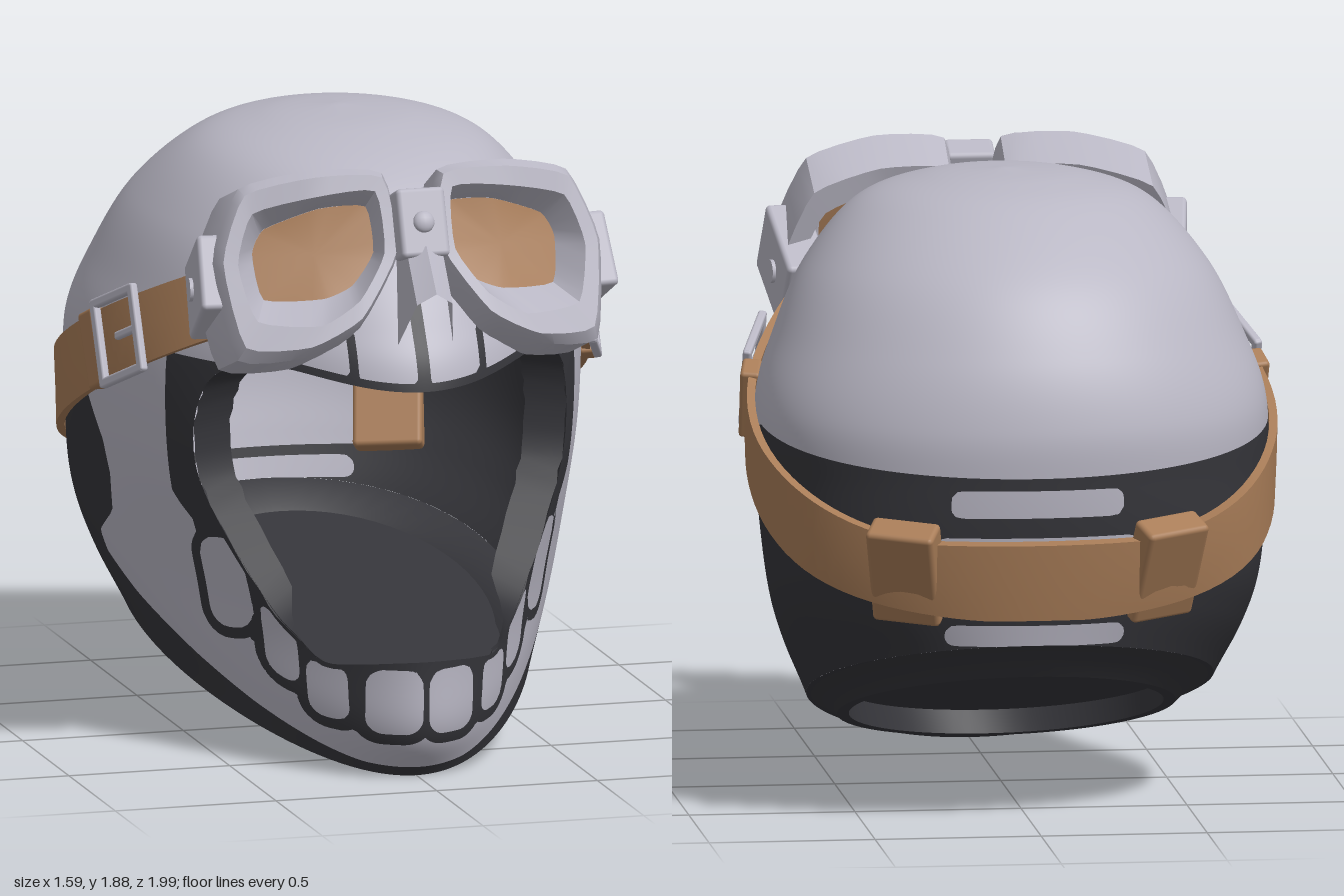
import * as THREE from 'three';
import { toCreasedNormals } from 'three/addons/utils/BufferGeometryUtils.js';
import { RoundedBoxGeometry } from 'three/addons/geometries/RoundedBoxGeometry.js';

const V = (x, y, z) => new THREE.Vector3(x, y, z);
const mat = (name, color) => {
  const m = new THREE.MeshStandardMaterial({ color, side: THREE.DoubleSide });
  m.name = name;
  return m;
};
const grey = mat('pale grey', 0xb9b7c4);
const dark = mat('charcoal', 0x35353a);
const brown = mat('leather brown', 0xa97d58);

// Helmet cross-sections, bottom to top: front y, front z, back y, back z, half width, taper to the front
const ROWS = [
  [0.005, 0.78, 0.56, -0.87, 0.59, 0.25], [0.15, 0.88, 0.70, -0.90, 0.64, 0.40],
  [0.37, 0.895, 0.85, -0.93, 0.685, 0.42], [0.80, 0.92, 1.05, -0.95, 0.73, 0.31],
  [1.20, 0.88, 1.22, -0.95, 0.74, 0.26], [1.38, 0.80, 1.42, -0.89, 0.69, 0.18],
  [1.57, 0.66, 1.63, -0.75, 0.60, 0.10], [1.76, 0.45, 1.80, -0.50, 0.44, 0.04],
  [1.85, 0.20, 1.86, -0.30, 0.24, 0], [1.88, -0.08, 1.88, -0.08, 0, 0]];
const spline = (o) => new THREE.CatmullRomCurve3(ROWS.map((r) => V(r[o], r[o + 1], r[o + 2])), false, 'catmullrom', 0.5);
const curveA = spline(0), curveB = spline(3);
function surf(s, a) {
  const A = curveA.getPoint(s), B = curveB.getPoint(s), c = (1 + Math.cos(a)) / 2;
  return V(B.y * Math.sin(a) * (1 - B.z * Math.cos(a)), A.z + (A.x - A.z) * c, B.x + (A.y - B.x) * c);
}

// Signed distances, positive inside
function polyDist(pts, x, y) {
  let d = Infinity, inside = false;
  for (let i = 0, j = pts.length - 1; i < pts.length; j = i++) {
    const [ax, ay] = pts[i], [bx, by] = pts[j], ex = bx - ax, ey = by - ay;
    const t = Math.min(1, Math.max(0, ((x - ax) * ex + (y - ay) * ey) / (ex * ex + ey * ey)));
    d = Math.min(d, Math.hypot(x - ax - ex * t, y - ay - ey * t));
    if ((ay > y) !== (by > y) && x < ax + (ex * (y - ay)) / ey) inside = !inside;
  }
  return inside ? d : -d;
}
function pad(x, y, hx, hy, r) {
  const qx = Math.abs(x) - hx + r, qy = Math.abs(y) - hy + r;
  return r - Math.hypot(Math.max(qx, 0), Math.max(qy, 0)) - Math.min(Math.max(qx, qy), 0);
}
const smooth = THREE.MathUtils.smoothstep;

// Face opening and rear dark area, as (z, y) outlines
const OPEN = new THREE.SplineCurve([[0.95, 0.38], [0.89, 0.375], [0.8, 0.36], [0.71, 0.355], [0.64, 0.42], [0.57, 0.5], [0.46, 0.71],
  [0.4, 0.86], [0.385, 0.97], [0.405, 1.1], [0.46, 1.195], [0.55, 1.235], [0.65, 1.25], [0.75, 1.235], [0.88, 1.2], [0.95, 1.18]]
  .map((p) => new THREE.Vector2(...p))).getPoints(60).map((p) => [p.x, p.y]);
const HOLE = [[1.3, 0.38], ...OPEN, [1.3, 1.18]];
const REAR = [[-0.33, 1.16], [-0.2, 1.1], [-0.13, 1.02], [-0.05, 0.9], [-0.03, 0.8], [-0.05, 0.68], [-0.16, 0.6], [-0.14, 0.54], [0, 0.44],
  [0.25, 0.3], [0.46, 0.19], [0.75, 0.05], [0.86, 0.02], [0.86, -0.2], [-1.1, -0.2], [-1.1, 1.06]];
// Lower side teeth: z, y, half width, half height, lean, corner radius
const TEETH = [[0.713, 0.27, 0.058, 0.088, 0.1, 0.045], [0.581, 0.39, 0.054, 0.105, 0.4, 0.045], [0.423, 0.55, 0.08, 0.14, -0.1, 0.065]];

// Positive where the shell is dark
function paint([x, y, z]) {
  let d = polyDist(REAR, z, y);
  if (z < -0.4) {
    for (const [cy, hx, hy] of [[1, 0.26, 0.042], [0.59, 0.27, 0.033], [0.775, 0.31, 0.122]])
      d = Math.min(d, -pad(x, y - cy, hx, hy, 0.03));
  }
  if (z > 0) {
    const hole = polyDist(HOLE, z, y);
    d = Math.max(d, hole + 0.022, Math.min(z - 0.278, 0.6 - z, 1.235 - y, y - 0.67 - (0.4 - z) * 1.08));
    for (const [cx, w, top] of [[0, 0.02, 1.47], [0.2, 0.012, 1.37], [0.36, 0.02, 1.34]])
      d = Math.max(d, Math.min(w - Math.abs(Math.abs(x) - cx), top - y, y - 1.1));
    let tooth = z > 0.6 ? pad(Math.abs(x) - 0.088, y - 0.25, 0.079, 0.1, 0.05) : -1;
    for (const [cz, cy, hz, hy, lean, r] of TEETH)
      if (Math.abs(x) > 0.12) tooth = Math.max(tooth, pad(z - cz, y - cy + (z - cz) * lean, hz, hy, r));
    d = Math.min(Math.max(d, tooth + 0.034), Math.max(-tooth, hole + 0.015));
  }
  return d;
}

// Cuts triangles along f = 0 and returns the positive and negative parts
function split(tris, f) {
  const parts = [[], []];
  for (const t of tris) {
    const d = t.map(f);
    [1, -1].forEach((sg, k) => {
      const poly = [];
      for (let i = 0; i < 3; i++) {
        const j = (i + 1) % 3;
        if (sg * d[i] > 0 || (d[i] === 0 && sg > 0)) poly.push(t[i]);
        if (d[i] * d[j] < 0) poly.push(t[i].map((v, c) => v + ((t[j][c] - v) * d[i]) / (d[i] - d[j])));
      }
      for (let i = 2; i < poly.length; i++) parts[k].push([poly[0], poly[i - 1], poly[i]]);
    });
  }
  return parts;
}
function trisGeometry(tris) {
  const g = new THREE.BufferGeometry(), verts = tris.flat();
  g.setAttribute('position', new THREE.Float32BufferAttribute(verts.flatMap((v) => v.slice(0, 3)), 3));
  g.setAttribute('normal', new THREE.Float32BufferAttribute(verts.flatMap((v) => v.slice(3)), 3));
  return g;
}
// Surface through loops of points
function loft(rings, wrap = true, flip = false) {
  const n = rings[0].length, idx = [];
  for (let i = 0; i < rings.length - 1; i++) for (let j = 0; j < (wrap ? n : n - 1); j++) {
    const a = i * n + j, b = i * n + ((j + 1) % n), c = b + n, d = a + n;
    idx.push(...(flip ? [a, c, b, a, d, c] : [a, b, c, a, c, d]));
  }
  const g = new THREE.BufferGeometry();
  g.setAttribute('position', new THREE.Float32BufferAttribute(rings.flat().flatMap((p) => p.toArray()), 3));
  g.setIndex(idx);
  return toCreasedNormals(g, 0.6);
}

// Strap position on the shell
function strapPoint(a, off) {
  let lo = 0, hi = 1;
  for (let i = 0; i < 30; i++) {
    const m = (lo + hi) / 2, p = surf(m, a);
    if (p.y - 1.2 - 0.485 * Math.max(p.z, -0.88) < off) lo = m; else hi = m;
  }
  const p = surf(lo, a);
  const n = surf(lo, a + 0.01).sub(p).cross(surf(lo + 0.005, a).sub(p)).normalize();
  return { p, n };
}
function orient(obj, pos, X, Z) {
  X.normalize();
  const Y = Z.clone().cross(X).normalize();
  obj.quaternion.setFromRotationMatrix(new THREE.Matrix4().makeBasis(X, Y, X.clone().cross(Y)));
  obj.position.copy(pos);
  return obj;
}
function onStrap(obj, a, lift) {
  const { p, n } = strapPoint(a, 0);
  return orient(obj, p.clone().addScaledVector(n, lift), strapPoint(a + 0.02, 0).p.sub(p), n);
}

export function createModel() {
  const root = new THREE.Group();
  root.name = 'helmetWithGoggles';
  const add = (name, geo, m, parent = root) => {
    const mesh = new THREE.Mesh(geo, m);
    mesh.name = name;
    parent.add(mesh);
    return mesh;
  };
  const range = (n, f) => Array.from({ length: n }, (_, i) => f(i));

  // Shell, cut open at the face and divided by colour
  const R = 100, C = 220, idx = [];
  const pts = range((R + 1) * C, (k) => surf(Math.floor(k / C) / R, ((k % C) / C) * Math.PI * 2));
  for (let i = 0; i < R; i++) for (let j = 0; j < C; j++) {
    const a = i * C + j, b = i * C + ((j + 1) % C);
    idx.push(a, b, b + C, a, b + C, a + C);
  }
  const grid = new THREE.BufferGeometry().setFromPoints(pts);
  grid.setIndex(idx);
  grid.computeVertexNormals();
  const nor = grid.attributes.normal;
  const verts = pts.map((p, i) => (i >= R * C ? [p.x, p.y, p.z, 0, 1, 0] : [p.x, p.y, p.z, nor.getX(i), nor.getY(i), nor.getZ(i)]));
  const tris = range(idx.length / 3, (i) => [0, 1, 2].map((k) => verts[idx[3 * i + k]]));
  const shell = split(tris, (v) => polyDist(HOLE, v[2], v[1]))[1];
  const [darkTris, greyTris] = split(shell, paint);
  add('shellDark', trisGeometry(darkTris), dark);
  add('shellPale', trisGeometry(greyTris), grey);

  // Inward lip along both sides of the face opening
  for (const sx of [1, -1]) {
    const edge = OPEN.filter(([z]) => z < 0.72).map(([z, y]) => {
      let best = pts[0], bd = 9;
      for (const p of pts) {
        const d = p.x > 0 ? Math.hypot(p.z - z, p.y - y) : 9;
        if (d < bd) { bd = d; best = p; }
      }
      return V(best.x * sx, y, z);
    });
    const inner = edge.map((p) => V(p.x - sx * 0.12 * smooth(p.y, 0.33, 0.6) * (1 - smooth(p.z, 0.55, 0.72)), p.y, p.z - 0.03));
    add('openingLip', loft([edge, inner], false), dark);
  }

  // Neck ring with its closing disc, tilted like the lower rim
  const oval = (k, d) => range(64, (i) => {
    const a = (i / 64) * Math.PI * 2, z = -0.12 + 0.58 * k * Math.cos(a);
    return V(0.5 * k * Math.sin(a), 0.27 - 0.32 * z - d, z - 0.3 * d);
  });
  const rim = range(64, (i) => surf(0, (i / 64) * Math.PI * 2));
  add('neckRing', loft([rim, oval(1.1, 0.015), oval(1.01, 0.055), oval(0.94, 0.055), oval(0.96, -0.015)]), dark);
  add('neckDisc', loft([oval(0.96, -0.015), oval(0, -0.015)]), dark);

  // Leather strap around the back
  add('strap', loft(range(81, (i) => {
    const a = 0.95 + (i / 80) * (2 * Math.PI - 1.9), top = 0.028 + 0.024 * smooth(-Math.cos(a), 0.5, 1);
    return [[-0.115, 0.003], [-0.115, top], [0, top], [0.115, top], [0.115, 0.003], [0.058, 0.005], [0, 0.005], [-0.058, 0.005]]
      .map(([off, lift]) => {
        const { p, n } = strapPoint(a, off);
        return p.addScaledVector(n, lift);
      });
  })), brown);

  // Goggle outlines, matched point for point
  const OUTER = [[0.055, 1.63], [0.085, 1.85], [0.3, 1.865], [0.51, 1.81], [0.6, 1.6], [0.56, 1.325], [0.37, 1.335], [0.2, 1.42]];
  const INNER = [[0.11, 1.62], [0.12, 1.795], [0.3, 1.785], [0.485, 1.735], [0.54, 1.59], [0.5, 1.43], [0.32, 1.42], [0.2, 1.49]];
  const LENS = [[0.115, 1.6], [0.125, 1.73], [0.27, 1.73], [0.43, 1.67], [0.47, 1.6], [0.45, 1.47], [0.28, 1.475], [0.19, 1.51]];
  const mix = (A, B, t) => A.map((p, i) => [p[0] + (B[i][0] - p[0]) * t, p[1] + (B[i][1] - p[1]) * t]);
  const backDepth = (x) => 0.15 + 0.17 * x;
  const ring = (outline, depth, drop, sx) => new THREE.CatmullRomCurve3(outline.map(([x, y]) =>
    V(x * sx, y - drop, 0.93 - 0.39 * (y - 1.35) - 0.35 * Math.max(0, x - 0.25) - depth(x))),
  true, 'catmullrom', 0.25).getPoints(32).slice(0, 32);

  for (const sx of [1, -1]) {
    const side = new THREE.Group();
    side.name = sx > 0 ? 'leftGoggle' : 'rightGoggle';
    root.add(side);
    const back = ring(OUTER, backDepth, 0.085, sx);
    add('goggleFrame', loft([back, ring(OUTER, () => 0.035, 0.012, sx), ring(mix(OUTER, INNER, 0.3), () => 0, 0, sx),
      ring(INNER, () => 0.005, 0, sx), ring(LENS, () => 0.12, 0, sx), ring(mix(OUTER, LENS, 0.5), backDepth, 0.085, sx), back],
    true, sx < 0), grey, side);
    const lens = ring(LENS, () => 0.118, 0, sx);
    const mid = lens.reduce((s, p) => s.add(p), V(0, 0, 0)).divideScalar(32);
    add('lens', loft([lens, lens.map(() => mid)], true, sx < 0), brown, side);

    // Hinge block with rivet
    const block = orient(new THREE.Group(), V(0.56 * sx, 1.485, 0.545), V(0.12 * sx, 0.5, 0.85), V(sx, 0, -0.14));
    block.name = 'strapHinge';
    side.add(block);
    add('hingeBlock', new RoundedBoxGeometry(0.31, 0.235, 0.13, 2, 0.015), grey, block);
    const rivet = add('hingeRivet', new THREE.CylinderGeometry(0.035, 0.035, 0.015, 16), grey, block);
    rivet.rotation.x = Math.PI / 2;
    rivet.position.set(-0.02, 0, 0.068);

    // Buckle: four bars and a prong
    const buckle = onStrap(new THREE.Group(), sx * 1.42, 0.036);
    buckle.name = 'buckle';
    side.add(buckle);
    for (const e of [1, -1]) {
      add('buckleBar', new RoundedBoxGeometry(0.03, 0.27, 0.026, 2, 0.008), grey, buckle).position.x = e * 0.1;
      add('buckleBar', new RoundedBoxGeometry(0.22, 0.03, 0.026, 2, 0.008), grey, buckle).position.y = e * 0.122;
    }
    add('buckleProng', new RoundedBoxGeometry(0.12, 0.025, 0.022, 2, 0.008), grey, buckle).position.x = -0.05 * sx;

    // Strap keeper and rear slider
    const keeper = add('strapKeeper', new RoundedBoxGeometry(0.09, 0.235, 0.06, 2, 0.012), brown, side);
    onStrap(keeper, sx * 1.57, 0.016);
    const slider = add('rearSlider', new RoundedBoxGeometry(0.21, 0.32, 0.1, 2, 0.015), brown, side);
    onStrap(slider, sx * 2.72, 0.008);
    slider.rotateX(0.26);
    slider.rotateZ(sx * 0.12);
  }

  // Bridge, its bolt and the nose guard
  const bridge = new THREE.Group();
  bridge.name = 'bridge';
  bridge.position.set(0, 1.7, 0.815);
  bridge.rotation.x = -0.37;
  root.add(bridge);
  add('bridgePlate', new RoundedBoxGeometry(0.15, 0.21, 0.1, 2, 0.015), grey, bridge);
  const bolt = add('bridgeBolt', new THREE.SphereGeometry(0.033, 16, 10), grey, bridge);
  bolt.scale.z = 0.6;
  bolt.position.z = 0.05;
  const guard = [[0.085, 1.35, 0.88, 0.07, 1.6, 0.81], [0.055, 1.49, 0.98, 0.055, 1.63, 0.87], [0, 1.525, 1.0, 0, 1.65, 0.89]];
  const row = (o) => [...guard.map((g) => V(-g[o], g[o + 1], g[o + 2])), ...guard.slice(0, 2).reverse().map((g) => V(g[o], g[o + 1], g[o + 2]))];
  add('noseGuard', loft([row(0), row(3)], false), grey);
  return root;
}
